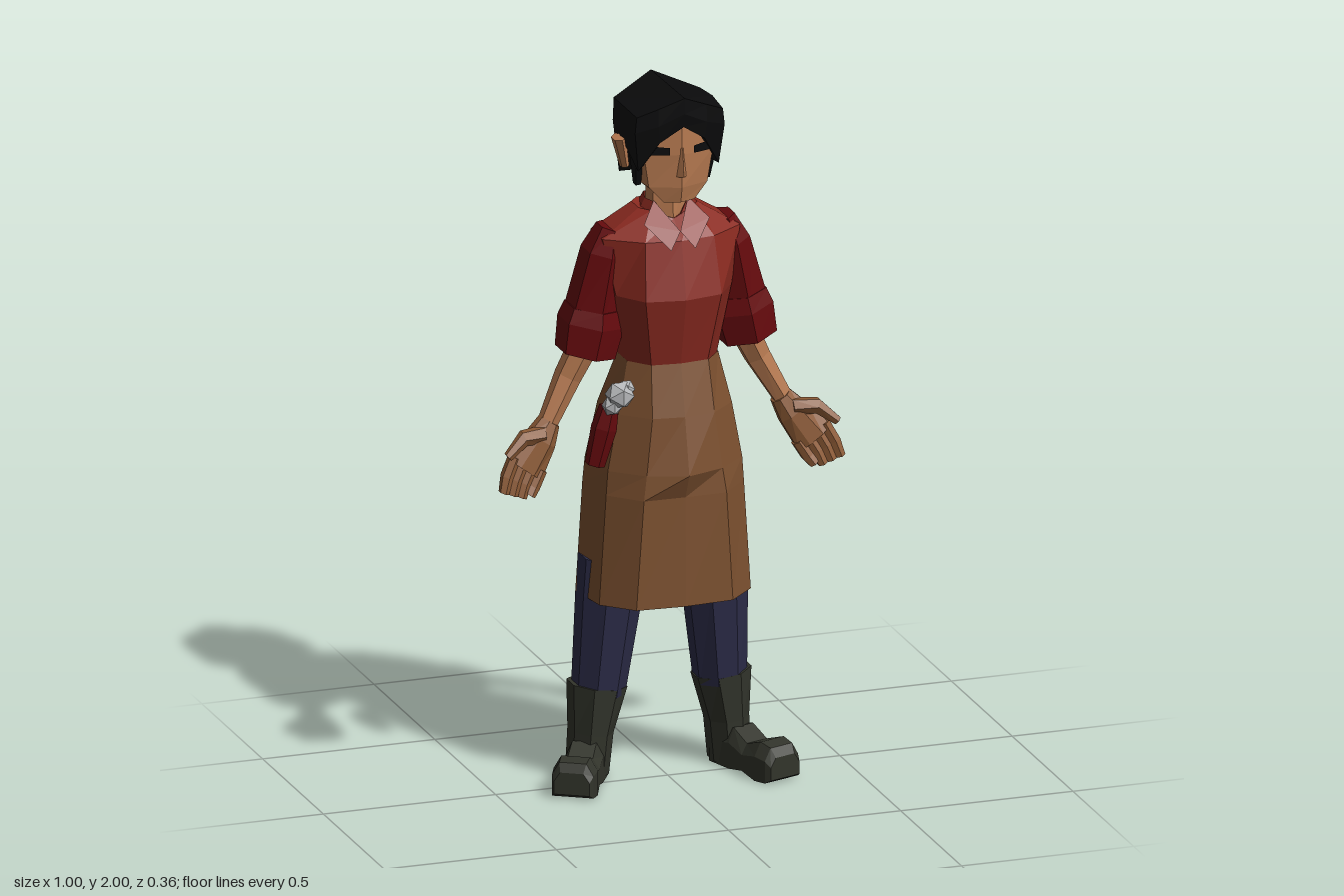
import * as THREE from 'three';

const mat = (name, color, side = THREE.FrontSide) => {
  const m = new THREE.MeshStandardMaterial({ color, side });
  m.name = name;
  return m;
};

// Faceted skin through closed rings of [x,y,z]; winding is turned outward by signed volume.
function loft(rings, caps = true) {
  const tris = [], n = rings[0].length;
  for (let i = 0; i < rings.length - 1; i++)
    for (let j = 0; j < n; j++) {
      const k = (j + 1) % n, a = rings[i], b = rings[i + 1];
      tris.push([a[j], a[k], b[k]], [a[j], b[k], b[j]]);
    }
  if (caps) {
    const first = rings[0], last = rings[rings.length - 1];
    for (let j = 1; j < n - 1; j++)
      tris.push([first[0], first[j + 1], first[j]], [last[0], last[j], last[j + 1]]);
  }
  const o = new THREE.Vector3(...rings[0][0]);
  let volume = 0;
  for (const t of tris) {
    const [a, b, c] = t.map(p => new THREE.Vector3(...p).sub(o));
    volume += a.dot(b.cross(c));
  }
  if (volume < 0) tris.forEach(t => t.reverse());
  return faceted(tris);
}

function faceted(tris) {
  const g = new THREE.BufferGeometry();
  g.setAttribute('position', new THREE.Float32BufferAttribute(tris.flat(2), 3));
  g.computeVertexNormals();
  return g;
}

// Flat panel as a fan of triangles
const panel = pts => faceted(pts.slice(2).map((p, i) => [pts[0], pts[i + 1], p]));

// Symmetric ring from its +x half, listed front to back as [x,z] or [x,z,ownY]
const sym = (y, half) => {
  const right = half.map(([x, z, py = y]) => [x, py, z]);
  const left = right.filter(p => p[0] > 0).reverse().map(([x, py, z]) => [-x, py, z]);
  return [...right, ...left];
};

// Limb along stations [x,y,z,width radius,depth radius]
function limb(st, n = 8) {
  return loft(st.map(([x, y, z, rx, rz = rx], i) => {
    const a = st[Math.max(i - 1, 0)], b = st[Math.min(i + 1, st.length - 1)];
    const d = Math.hypot(b[0] - a[0], b[1] - a[1]);
    const ux = -(b[1] - a[1]) / d, uy = (b[0] - a[0]) / d;
    return Array.from({ length: n }, (_, j) => {
      const t = (j + 0.5) / n * Math.PI * 2, c = Math.cos(t) * rx * 1.06, s = Math.sin(t) * rz * 1.06;
      return [x + ux * c, y + uy * c, z + s];
    });
  }));
}

export function createModel() {
  const model = new THREE.Group();
  model.name = 'apronedWorker';
  const skin = mat('skin', 0xb4784f), hair = mat('black hair', 0x0b0b0c, THREE.DoubleSide);
  const shirt = mat('red shirt', 0x8a2a20, THREE.DoubleSide), sleeve = mat('dark red', 0x650a0d);
  const apron = mat('brown apron', 0x7d5130, THREE.DoubleSide), trousers = mat('navy trousers', 0x2c2c48);
  const boots = mat('dark green boots', 0x32342b), gloves = mat('brown gloves', 0x8c5a35);
  const cloth = mat('grey cloth', 0xb4b6b8);
  const add = (name, geo, m, parent = model) => {
    const mesh = new THREE.Mesh(geo, m);
    mesh.name = name;
    parent.add(mesh);
    return mesh;
  };

  // Torso
  add('shirtBody', loft([
    sym(1.21, [[0, .105], [.08, .095], [.128, .035], [.128, -.04], [.08, -.08], [0, -.085]]),
    sym(1.42, [[0, .153], [.11, .132], [.168, .05], [.17, -.06], [.1, -.115], [0, -.12]]),
    sym(1.58, [[0, .115], [.1, .1], [.2, .03], [.2, -.07], [.1, -.12], [0, -.125]]),
    sym(1.65, [[0, .05, 1.625], [.06, .035], [.085, 0], [.085, -.06], [.06, -.09], [0, -.1]]),
  ]), shirt);

  // Collar: a band round the back and two front wings
  add('collarBand', loft([
    sym(1.63, [[0, .06, 1.6], [.06, .035], [.08, -.02], [.06, -.09], [0, -.1]]),
    sym(1.67, [[0, .045, 1.6], [.045, .03], [.06, -.02], [.045, -.075], [0, -.085]]),
  ], false), shirt);
  for (const s of [1, -1])
    add('collarWing', panel([[0, 1.605, .105], [s * .035, 1.56, .13], [s * .095, 1.625, .075], [s * .05, 1.675, .025]]), shirt);

  // Long apron, open at the hem
  add('apron', loft([
    sym(.535, [[0, .15], [.14, .14], [.22, .06], [.24, -.08], [.11, -.18], [0, -.185]]),
    sym(.85, [[0, .147], [.12, .145], [.2, .06], [.22, -.08], [.1, -.177], [0, -.177]]),
    sym(.92, [[0, .178], [.11, .14], [.195, .06], [.213, -.08], [.1, -.174], [0, -.175]]),
    sym(1.08, [[0, .143], [.09, .13], [.165, .06], [.18, -.07], [.09, -.167], [0, -.168]]),
    sym(1.225, [[0, .11], [.083, .1], [.132, .04], [.132, -.045], [.083, -.084], [0, -.09]]),
  ], false), apron);

  // Head, neck and face
  add('neck', loft([
    sym(1.6, [[0, .05], [.05, .02], [.05, -.05], [0, -.075]]),
    sym(1.76, [[0, .03], [.045, .01], [.045, -.05], [0, -.075]]),
  ]), skin);
  add('head', loft([
    sym(1.69, [[0, .108], [.045, .092], [.055, .03, 1.705], [.04, -.05, 1.73], [0, -.07, 1.73]]),
    sym(1.735, [[0, .118], [.085, .085], [.092, .02], [.08, -.07, 1.76], [0, -.1, 1.76]]),
    sym(1.83, [[0, .12], [.1, .088], [.11, 0], [.09, -.08], [0, -.11]]),
    sym(1.94, [[0, .115], [.095, .085], [.105, 0], [.09, -.08], [0, -.11]]),
  ]), skin);
  add('nose', loft([
    [[-.018, 1.765, .108], [.018, 1.765, .108], [0, 1.77, .134]],
    [[-.008, 1.85, .112], [.008, 1.85, .112], [0, 1.85, .123]],
  ]), skin);
  for (const s of [1, -1]) {
    const at = (x, y) => [s * x, y, .128 - .32 * x];
    add('eye', panel([at(.035, 1.832), at(.1, 1.832), at(.1, 1.86), at(.035, 1.853)]), hair);
    const ear = add('ear', new THREE.CylinderGeometry(.034, .022, .085, 6).toNonIndexed(), skin);
    ear.geometry.computeVertexNormals();
    ear.scale.x = .55;
    ear.position.set(s * .126, 1.81, -.025);
    ear.rotation.z = -s * .2;
    // Sideburn in front of the ear
    add('sideburn', limb([[s * .108, 1.85, .045, .016, .045], [s * .1, 1.73, .03, .01, .015]], 4), hair);
  }

  // Hair: ridged cap with a centre parting, longer at the back
  const crown = [[0, .14, 2], [.07, .122, 1.97], [.125, .1, 1.945], [.13, 0, 1.95], [.125, -.09, 1.945], [0, -.14, 1.995]];
  const middle = [[0, .14, 1.955], [.07, .124, 1.92], [.13, .1, 1.9], [.133, 0, 1.9], [.128, -.09, 1.88], [0, -.14, 1.88]];
  const edge = [[0, .132, 1.915], [.065, .12, 1.872], [.117, .088, 1.785], [.122, -.01, 1.835], [.11, -.09, 1.73], [0, -.13, 1.715]];
  const inner = [[0, .1, 1.915], [.06, .09, 1.872], [.09, .07, 1.8], [.09, -.01, 1.835], [.07, -.06, 1.75], [0, -.08, 1.735]];
  add('hair', loft([inner, edge, middle, crown].map(r => sym(0, r)), false), hair);
  // Crown halves meeting along the front-to-back ridge
  for (const s of [1, -1])
    add('hairTop', panel(crown.map(([x, z, y]) => [s * x, y, z])), hair);

  // Arms and legs, once per side
  for (const s of [1, -1]) {
    const side = new THREE.Group();
    side.name = s > 0 ? 'leftLimbs' : 'rightLimbs';
    model.add(side);
    const part = (name, st, m, n) => add(name, limb(st.map(([x, ...r]) => [s * x, ...r]), n), m, side);
    part('sleeve', [[.165, 1.6, -.02, .03, .05], [.182, 1.53, -.02, .055, .075], [.218, 1.34, -.02, .074, .08]], sleeve, 6);
    part('sleeveCuff', [[.21, 1.375, -.02, .076, .08], [.217, 1.33, -.02, .088, .092], [.235, 1.245, -.015, .08, .085]], sleeve, 6);
    part('forearm', [[.215, 1.29, -.035, .042, .04], [.275, 1.17, -.045, .036, .038], [.352, 1.03, -.02, .026, .025]], skin, 6);

    // Gloved hand with four fingers and a thumb
    part('glovePalm', [[.335, 1.055, -.025, .03, .03], [.365, 1.01, -.01, .045, .035], [.42, .935, .012, .058, .026]], gloves);
    for (let i = 0; i < 4; i++) {
      const t = (i - 1.5) * .03, drop = i === 0 ? .012 : 0;
      part('gloveFinger', [
        [.41 + .85 * t, .952 + .5 * t, .01, .017, .02],
        [.436 + .85 * t, .905 + .4 * t, .022, .018, .02],
        [.45 + .85 * t, .868 + .3 * t + drop, .035, .014, .016]], gloves, 6);
    }
    part('gloveThumb', [[.36, 1.025, 0, .025], [.425, 1.028, .02, .022], [.478, .985, .04, .013]], gloves, 6);

    // Trouser leg and boot
    part('trouserLeg', [[.145, .64, -.045, .09, .085], [.153, .53, -.05, .088, .083], [.177, .24, -.072, .07, .073]], trousers);
    part('bootShaft', [[.18, .265, -.073, .08, .077], [.197, .13, -.078, .058, .073], [.206, .01, -.08, .055, .07]], boots);
    const toe = s > 0 ? [.283, .155] : [.315, .105];
    const dx = toe[0] - .205, dz = toe[1] + .07, length = Math.hypot(dx, dz);
    const section = (t, w, h, base) => [[-w, base], [w, base], [w, h * .65], [w * .65, h], [-w * .65, h], [-w, h * .65]]
      .map(([x, y]) => [x, y, t * length]);
    const foot = add('bootFoot', loft([
      section(-.12, .05, .09, 0), section(.25, .052, .115, 0), section(.5, .054, .085, .01),
      section(.78, .062, .108, 0), section(.95, .058, .1, .002), section(1.02, .05, .075, .012),
    ]), boots, side);
    foot.position.set(s * .205, 0, -.07);
    foot.rotation.y = s * Math.atan2(dx, dz);
  }

  // Hip pouch with a crumpled cloth
  add('pouch', limb([[-.195, 1.11, .07, .025, .03], [-.21, 1.05, .07, .034, .035], [-.235, .945, .065, .026, .03]], 6), sleeve);
  for (const [x, y, z, r] of [[-.175, 1.15, .1, .042], [-.195, 1.12, .095, .03], [-.155, 1.165, .095, .026]])
    add('cloth', new THREE.IcosahedronGeometry(r, 0).translate(x, y, z), cloth);

  return model;
}
